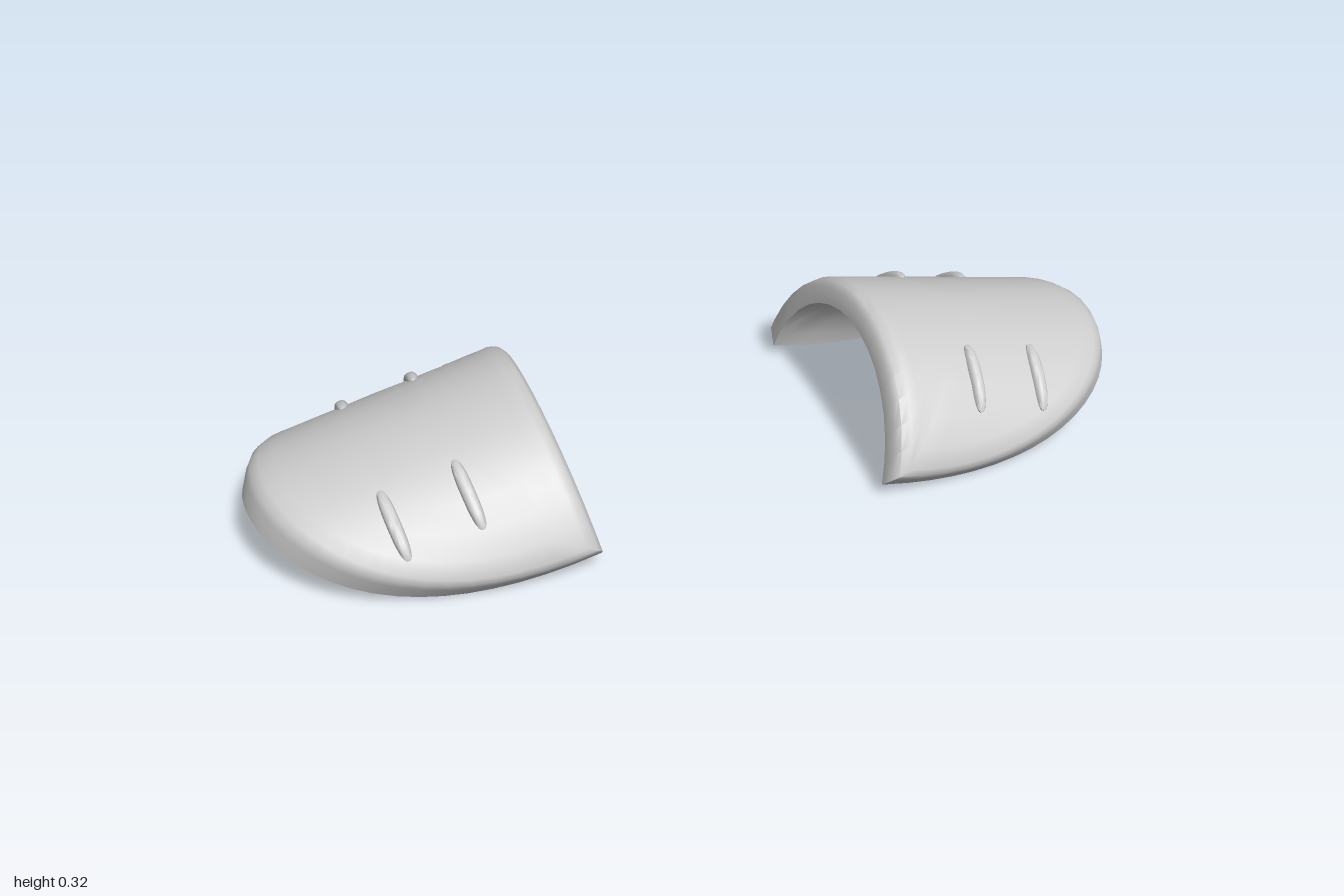
import * as THREE from 'three';
import { toCreasedNormals } from 'three/addons/utils/BufferGeometryUtils.js';

const R = 0.366; // outer radius of the curved plate
const DEG = Math.PI / 180;
const spow = (v, e) => Math.sign(v) * Math.pow(Math.abs(v), e);

// Point on the bent plate: s along its axis, angle around it, r from the axis
const bend = ([s, angle, r]) => [s, r * Math.cos(angle) - R, r * Math.sin(angle)];

// Skin a list of closed rings, running from the underside up to the top
function loft(rings) {
  const pos = [];
  const tri = (...pts) => {
    const [a, b, c] = pts.map((p) => new THREE.Vector3(...bend(p)));
    if (b.clone().sub(a).cross(c.clone().sub(a)).length() < 1e-10) return;
    for (const p of [a, b, c]) pos.push(p.x, p.y, p.z);
  };
  for (let k = 0; k < rings.length - 1; k++) {
    const lo = rings[k], hi = rings[k + 1], n = lo.length;
    for (let j = 0; j < n; j++) {
      const m = (j + 1) % n;
      tri(lo[j], hi[m], lo[m]);
      tri(lo[j], hi[j], hi[m]);
    }
  }
  const geo = new THREE.BufferGeometry();
  geo.setAttribute('position', new THREE.Float32BufferAttribute(pos, 3));
  return toCreasedNormals(geo, 0.7);
}

// Plate outline: straight inner end, rounded tip; scaled about the plate's middle
function plateRing(s0, s1, spread, r, scale = 1) {
  const pts = [], e = 2 / 2.15, mid = 0.25;
  const add = (s, angle) => pts.push([mid + (s - mid) * scale, angle * DEG * scale, r]);
  const arc = 36, end = 16;
  for (let i = 0; i <= arc; i++) {
    const t = (i / arc - 0.5) * Math.PI;
    add(s0 + (s1 - s0) * spow(Math.max(0, Math.cos(t)), e), spread * spow(Math.sin(t), e));
  }
  for (let i = 1; i < end; i++) add(s0, spread * (1 - (2 * i) / end));
  return pts;
}

function plateGeometry() {
  const inner = [-0.02, 0.617, 78, R - 0.061];
  const outer = [0.01, 0.56, 69.5, R];
  const scales = [0, 0.15, 0.3, 0.45, 0.6, 0.75, 0.9];
  return loft([
    ...scales.map((k) => plateRing(...inner, k)),
    plateRing(...inner),
    // rounded upper edge of the rim
    plateRing(-0.02, 0.593, 74, R - 0.022),
    plateRing(-0.01, 0.58, 72, R - 0.007),
    plateRing(...outer),
    ...scales.reverse().map((k) => plateRing(...outer, k)),
  ]);
}

// Low raised rib lying around the curve of the plate
function ribGeometry(s, angle) {
  const ring = (scale, height) => Array.from({ length: 28 }, (_, i) => {
    const t = (i / 28 - 0.25) * Math.PI * 2;
    return [
      s + 0.015 * scale * spow(Math.cos(t), 0.75),
      (angle + 12.5 * (0.2 * scale + 0.8 * Math.sqrt(scale)) * spow(Math.sin(t), 0.75)) * DEG,
      R + height,
    ];
  });
  return loft([ring(1, -0.012), ring(1, 0.003), ring(0.75, 0.01), ring(0.4, 0.013), ring(0, 0.014)]);
}

export function createModel() {
  const model = new THREE.Group();
  model.name = 'curvedPlates';
  const material = new THREE.MeshStandardMaterial({ color: 0xcccccc });
  const plateGeo = plateGeometry();
  const ribGeos = [0.19, 0.352].flatMap((s) => [-38, 38].map((a) => ribGeometry(s, a)));

  for (const side of ['left', 'right']) {
    const half = new THREE.Group();
    half.name = side + 'Plate';
    if (side === 'right') half.rotation.y = Math.PI;

    // plate slopes down towards its tip
    const tilted = new THREE.Group();
    tilted.name = side + 'PlateTilt';
    tilted.position.set(0.41, 0.32, 0);
    tilted.rotation.z = -12.7 * DEG;
    half.add(tilted);

    const shell = new THREE.Mesh(plateGeo, material);
    shell.name = side + 'Shell';
    tilted.add(shell);
    ribGeos.forEach((geo, i) => {
      const rib = new THREE.Mesh(geo, material);
      rib.name = side + 'Rib' + (i + 1);
      tilted.add(rib);
    });
    model.add(half);
  }
  return model;
}
